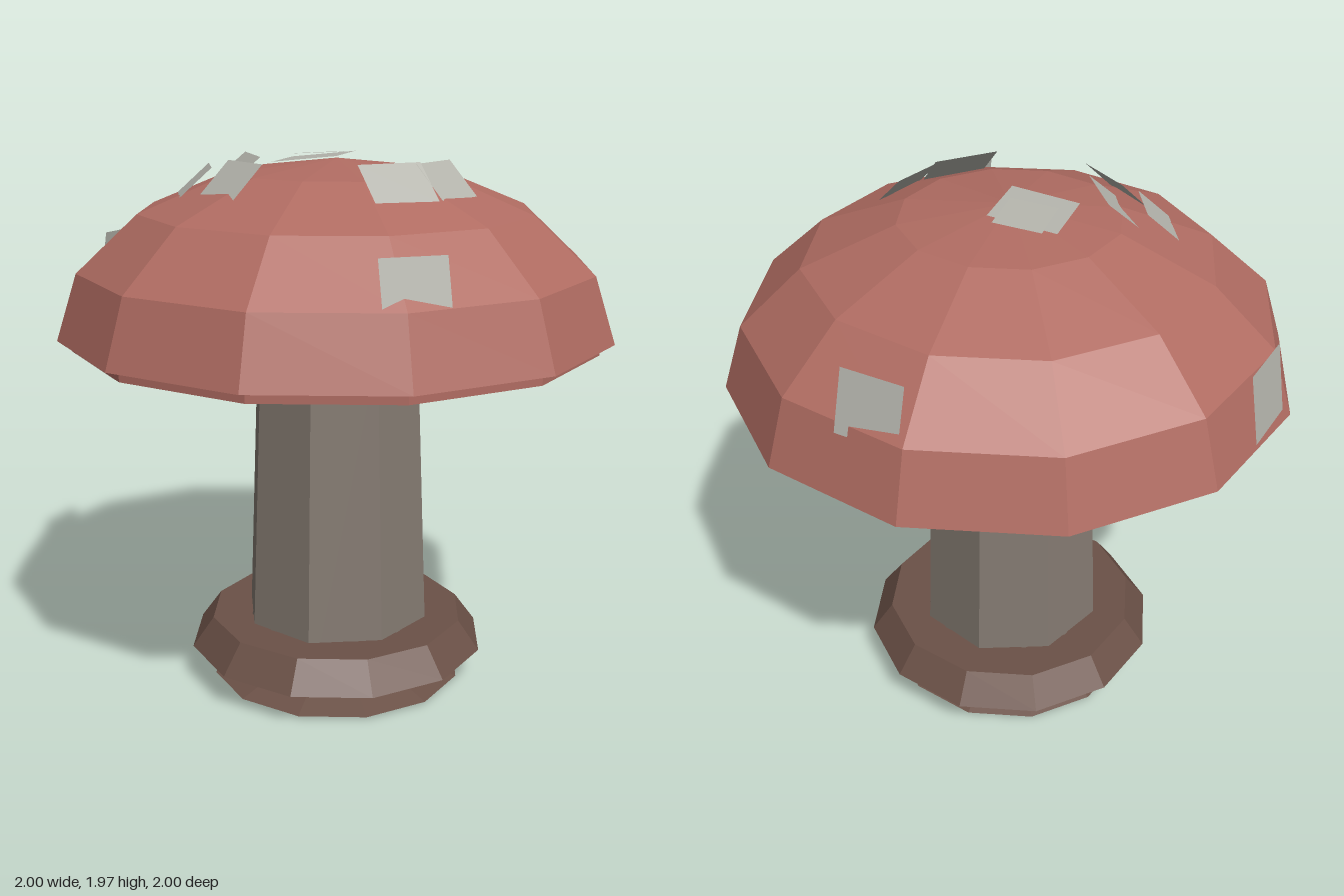
import * as THREE from 'three';

const material = (color, side = THREE.FrontSide) =>
  new THREE.MeshStandardMaterial({ color, side, flatShading: true });

const RED = material(0xb06c62, THREE.DoubleSide);
const STONE = material(0x857b72);
const BROWN = material(0x6b5147, THREE.DoubleSide);
const PALE = material(0xb4b4ac, THREE.DoubleSide);

function add(group, name, geometry, mat, y = 0) {
  const mesh = new THREE.Mesh(geometry, mat);
  mesh.name = name;
  mesh.position.y = y;
  group.add(mesh);
  return mesh;
}

// Flat four-sided patch: upper edge from a to b, extended along the slope by d
function patchGeometry(a, b, d) {
  const A = new THREE.Vector3(...a), B = new THREE.Vector3(...b), D = new THREE.Vector3(...d);
  const geometry = new THREE.BufferGeometry().setFromPoints([A, A.clone().add(D), B.clone().add(D), B]);
  geometry.setIndex([0, 1, 2, 0, 2, 3]);
  geometry.computeVertexNormals();
  return geometry;
}

export function createModel() {
  const model = new THREE.Group();
  model.name = 'mushroom';

  // Eight-sided tapering stem
  add(model, 'stem', new THREE.CylinderGeometry(0.305, 0.36, 1.32, 8), STONE, 0.66);

  // Flared rings around the foot of the stem
  const foot = [
    [0.475, 0.01], [0.347, 0.05], [0.347, 0.13], [0.56, 0.13], [0.48, 0.24], [0.33, 0.24],
  ].map(([r, y]) => new THREE.Vector2(r, y));
  add(model, 'footRings', new THREE.LatheGeometry(foot, 12), BROWN);

  // Open flattened dome and the disc that closes it
  const dome = new THREE.SphereGeometry(1, 12, 4, 0, Math.PI * 2, 0, Math.PI / 2);
  dome.scale(1, 0.61, 1);
  add(model, 'cap', dome, RED, 1.34);
  const disc = new THREE.CylinderGeometry(0.95, 0.95, 0.04, 12);
  add(model, 'capUnderside', disc, RED, 1.32);

  // Pale patches scattered over the cap
  const patches = new THREE.Group();
  patches.name = 'capPatches';
  model.add(patches);
  [
    // crown
    [[-0.21, 1.938, -0.14], [0.03, 1.964, -0.14], [0, 0, 0.24]],
    [[-0.17, 1.95, -0.175], [0, 1.96, -0.175], [0, 0.01, 0.175]],
    // right front cluster
    [[-0.44, 1.93, 0.11], [-0.36, 1.93, 0.28], [-0.1, -0.1, 0.05]],
    [[-0.32, 1.968, 0.06], [-0.19, 1.968, 0.26], [-0.115, -0.11, 0.06]],
    [[-0.31, 1.955, 0.25], [-0.14, 1.955, 0.38], [-0.07, -0.11, 0.09]],
    // left front cluster
    [[0.18, 1.96, 0.36], [0.35, 1.96, 0.2], [0.09, -0.12, 0.09]],
    [[0.34, 1.955, 0.22], [0.41, 1.955, 0.02], [0.11, -0.115, 0.06]],
    // lower rim: front, right side, back
    [[0.365, 1.73, 0.785], [0.55, 1.73, 0.66], [0.03, -0.205, 0.035]],
    [[-0.9, 1.64, -0.29], [-0.94, 1.64, -0.06], [-0.04, -0.24, -0.01]],
    [[0.245, 1.74, -0.81], [0.02, 1.74, -0.845], [0.006, -0.2, -0.063]],
  ].forEach(([a, b, d], i) => add(patches, `patch${i + 1}`, patchGeometry(a, b, d), PALE));

  return model;
}
